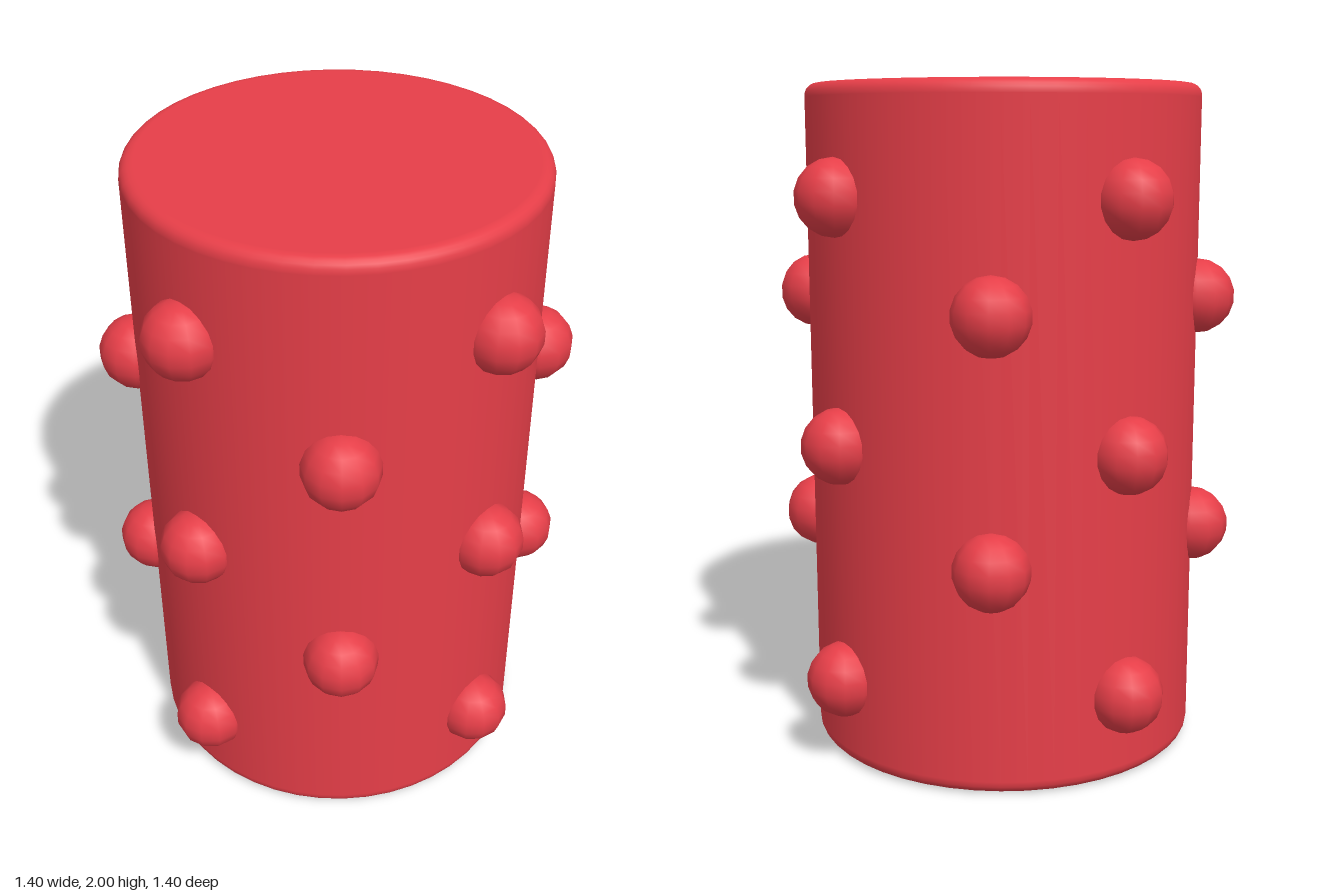
import * as THREE from 'three';

const RADIUS = 0.59, HEIGHT = 2, RIM = 0.035;

// Closed drum profile: flat ends, softly rounded rims, straight wall
function bodyGeometry() {
  const pts = [new THREE.Vector2(0, 0), new THREE.Vector2(RADIUS - RIM - 0.005, 0)];
  const steps = 5;
  for (const [cy, start] of [[RIM, -Math.PI / 2], [HEIGHT - RIM, 0]]) {
    if (start === 0) pts.push(new THREE.Vector2(RADIUS, cy - 0.005));
    for (let i = 0; i <= steps; i++) {
      const a = start + (i / steps) * Math.PI / 2;
      pts.push(new THREE.Vector2(RADIUS - RIM + RIM * Math.cos(a), cy + RIM * Math.sin(a)));
    }
    if (start !== 0) pts.push(new THREE.Vector2(RADIUS, cy + 0.005));
  }
  pts.push(new THREE.Vector2(RADIUS - RIM - 0.005, HEIGHT), new THREE.Vector2(0, HEIGHT));
  return new THREE.LatheGeometry(pts, 48);
}

export function createModel() {
  const group = new THREE.Group();
  const red = new THREE.MeshStandardMaterial({ color: 0xe63e48 });

  const body = new THREE.Mesh(bodyGeometry(), red);
  body.name = 'body';
  group.add(body);

  // Round knobs half sunk into the wall, in staggered rings of four
  const knobGeometry = new THREE.SphereGeometry(0.112, 12, 9);
  const straight = [0, 90, 180, 270];
  const diagonal = [44, 135, 230, 315.5];
  const rings = [
    [0.26, straight], [0.665, diagonal], [0.97, straight], [1.375, diagonal], [1.68, straight],
  ];
  rings.forEach(([y, angles], r) => {
    const ring = new THREE.Group();
    ring.name = `knobRing${r + 1}`;
    angles.forEach((deg, i) => {
      const a = THREE.MathUtils.degToRad(deg);
      const knob = new THREE.Mesh(knobGeometry, red);
      knob.name = `knob${i + 1}`;
      knob.position.set(Math.sin(a) * RADIUS, y, Math.cos(a) * RADIUS);
      knob.rotation.y = a;
      ring.add(knob);
    });
    group.add(ring);
  });

  return group;
}
